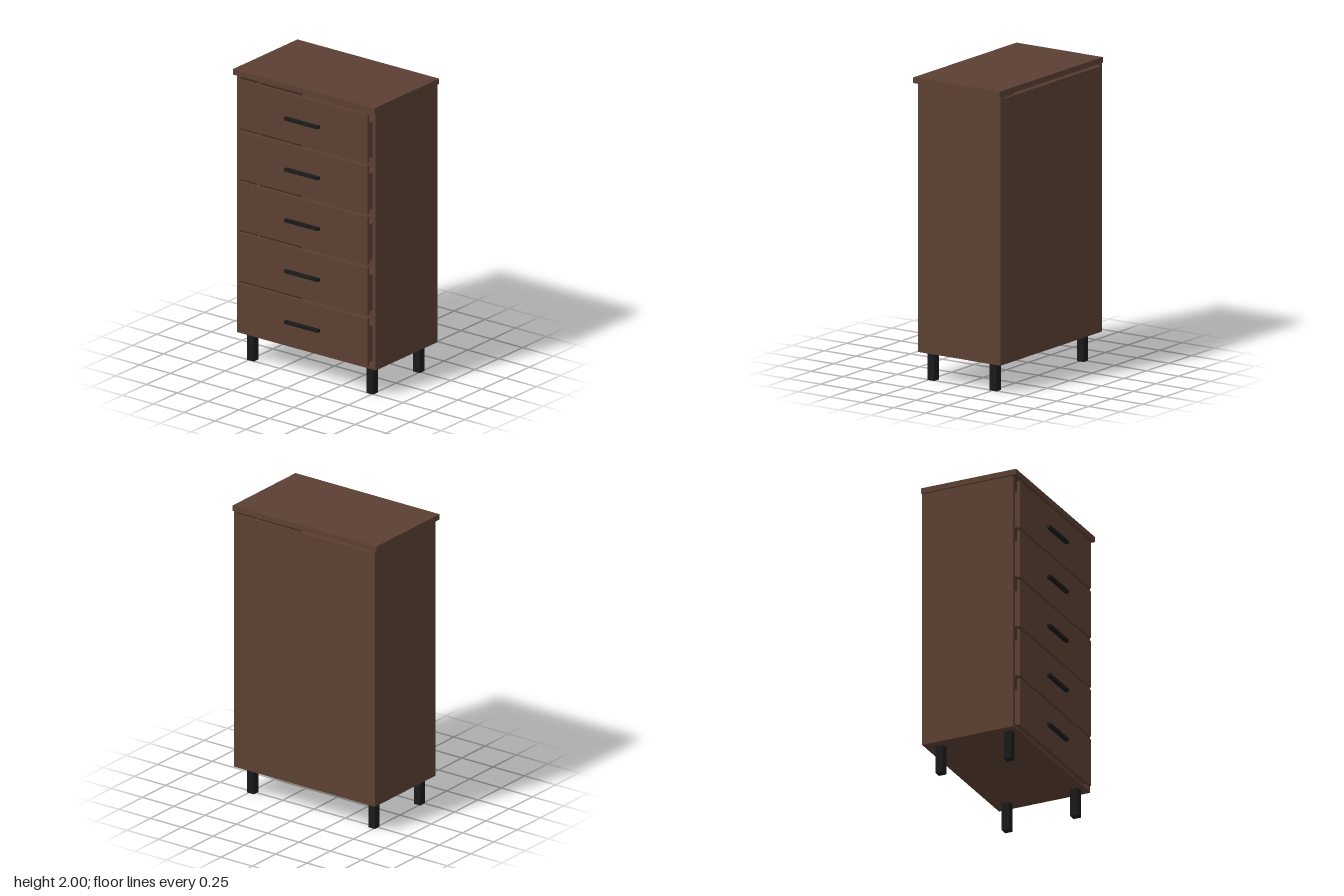
import * as THREE from 'three';

export function createModel() {
  const model = new THREE.Group();
  model.name = 'chestOfDrawers';

  const wood = new THREE.MeshStandardMaterial({ color: 0x5c4033 });
  wood.name = 'dark brown wood';
  const metal = new THREE.MeshStandardMaterial({ color: 0x1a1a1a });
  metal.name = 'black metal';

  // Box given by its minimum and maximum on each axis
  function box(parent, name, material, [x0, x1], [y0, y1], [z0, z1]) {
    const mesh = new THREE.Mesh(new THREE.BoxGeometry(x1 - x0, y1 - y0, z1 - z0), material);
    mesh.position.set((x0 + x1) / 2, (y0 + y1) / 2, (z0 + z1) / 2);
    mesh.name = name;
    parent.add(mesh);
  }

  // Carcass: the back stops just short of the top
  const carcass = new THREE.Group();
  carcass.name = 'carcass';
  model.add(carcass);
  box(carcass, 'topPanel', wood, [-0.575, 0.575], [1.963, 2], [-0.354, 0.323]);
  box(carcass, 'leftSide', wood, [0.536, 0.563], [0.19, 1.963], [-0.354, 0.295]);
  box(carcass, 'rightSide', wood, [-0.563, -0.536], [0.19, 1.963], [-0.354, 0.295]);
  box(carcass, 'bottomPanel', wood, [-0.536, 0.536], [0.19, 0.212], [-0.354, 0.295]);
  box(carcass, 'backPanel', wood, [-0.536, 0.536], [0.212, 1.946], [-0.354, -0.34]);

  // Drawers: front plate, open tray behind it and bar handle
  for (let i = 0; i < 5; i++) {
    const y = 0.214 + i * 0.349;
    const drawer = new THREE.Group();
    drawer.name = `drawer${i + 1}`;
    model.add(drawer);
    box(drawer, 'drawerFront', wood, [-0.518, 0.518], [y, y + 0.328], [0.302, 0.323]);

    const tray = [y + 0.015, y + 0.262];
    box(drawer, 'trayFloor', wood, [-0.488, 0.488], [y + 0.015, y + 0.027], [-0.288, 0.29]);
    box(drawer, 'trayLeft', wood, [0.488, 0.502], tray, [-0.302, 0.302]);
    box(drawer, 'trayRight', wood, [-0.502, -0.488], tray, [-0.302, 0.302]);
    box(drawer, 'trayBack', wood, [-0.488, 0.488], tray, [-0.302, -0.288]);
    box(drawer, 'trayFront', wood, [-0.488, 0.488], tray, [0.29, 0.302]);

    box(drawer, 'handle', metal, [-0.136, 0.136], [y + 0.151, y + 0.17], [0.328, 0.354]);
  }

  // Square legs
  for (const x of [-0.484, 0.484]) {
    for (const z of [-0.258, 0.23]) {
      box(model, 'leg', metal, [x - 0.026, x + 0.026], [0, 0.19], [z - 0.026, z + 0.026]);
    }
  }

  return model;
}
